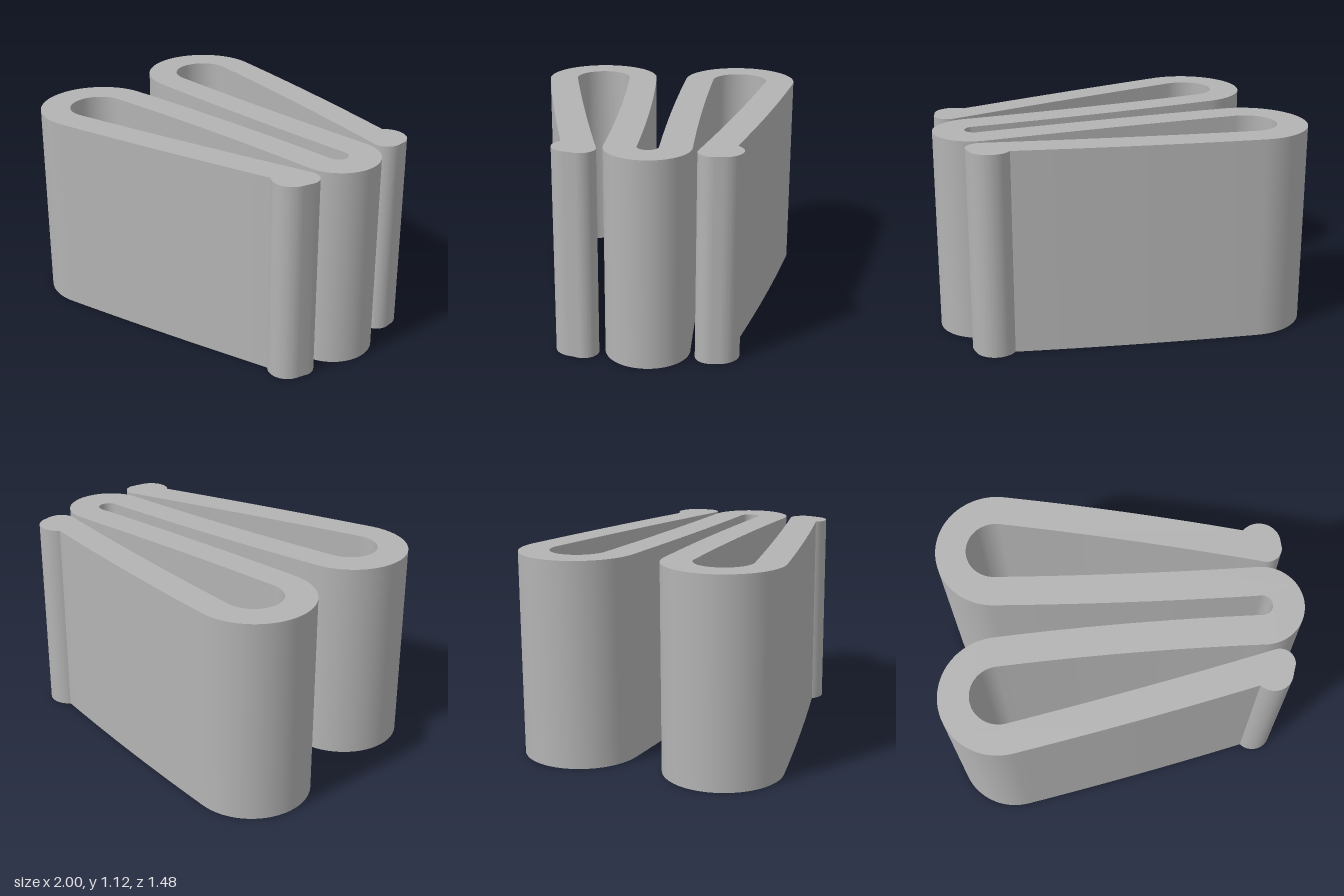
import * as THREE from 'three';
import { toCreasedNormals } from 'three/addons/utils/BufferGeometryUtils.js';

const HEIGHT = 1.12;
const rad = THREE.MathUtils.degToRad;

// Outline arcs in order: centre x, centre y, radius, start and end angle,
// and the bow of the arm leading to the arc (null: join directly).
const ARCS = [
  [-0.675, 0.42, 0.325, 84, 272, 0.012],     // rear bend, outside
  [0.773, 0.117, 0.056, 94, -86, -0.01],     // right bend, inside
  [-0.61, -0.41, 0.325, 100, 286, 0.016],    // front bend, outside
  [0.823, -0.262, 0.104, 226, 355, -0.008],  // front bead
  [0.86, -0.21, 0.08, -5, 107, null],        // front tip
  [-0.61, -0.41, 0.159, 286, 100, -0.008],   // front bend, inside
  [0.775, 0.117, 0.225, -86, 94, 0.016],     // right bend, outside
  [-0.675, 0.42, 0.159, 272, 84, -0.01],     // rear bend, inside
  [0.805, 0.455, 0.083, 262, 365, 0.012],    // rear tip
  [0.768, 0.487, 0.115, 15, 141, null],      // rear bead
];

function foldedOutline() {
  const shape = new THREE.Shape();
  const [lx, ly, lr, , lastAngle] = ARCS[ARCS.length - 1];
  shape.moveTo(lx + lr * Math.cos(rad(lastAngle)), ly + lr * Math.sin(rad(lastAngle)));
  for (const [cx, cy, r, a0, a1, bow] of ARCS) {
    if (bow !== null) {
      const from = shape.currentPoint;
      const x = cx + r * Math.cos(rad(a0));
      const y = cy + r * Math.sin(rad(a0));
      shape.quadraticCurveTo((from.x + x) / 2, (from.y + y) / 2 + 2 * bow, x, y);
    }
    shape.absarc(cx, cy, r, rad(a0), rad(a1), a1 < a0);
  }
  return shape;
}

export function createModel() {
  const group = new THREE.Group();
  group.name = 'foldedSpring';
  const grey = new THREE.MeshStandardMaterial({ color: 0xb3b3b3 });
  grey.name = 'grey';

  // Serpentine strip with beaded ends, extruded upward
  let geometry = new THREE.ExtrudeGeometry(foldedOutline(), {
    depth: HEIGHT, bevelEnabled: false, curveSegments: 28,
  });
  geometry.rotateX(-Math.PI / 2);
  geometry = toCreasedNormals(geometry, rad(35));
  const strip = new THREE.Mesh(geometry, grey);
  strip.name = 'foldedStrip';
  group.add(strip);
  return group;
}
